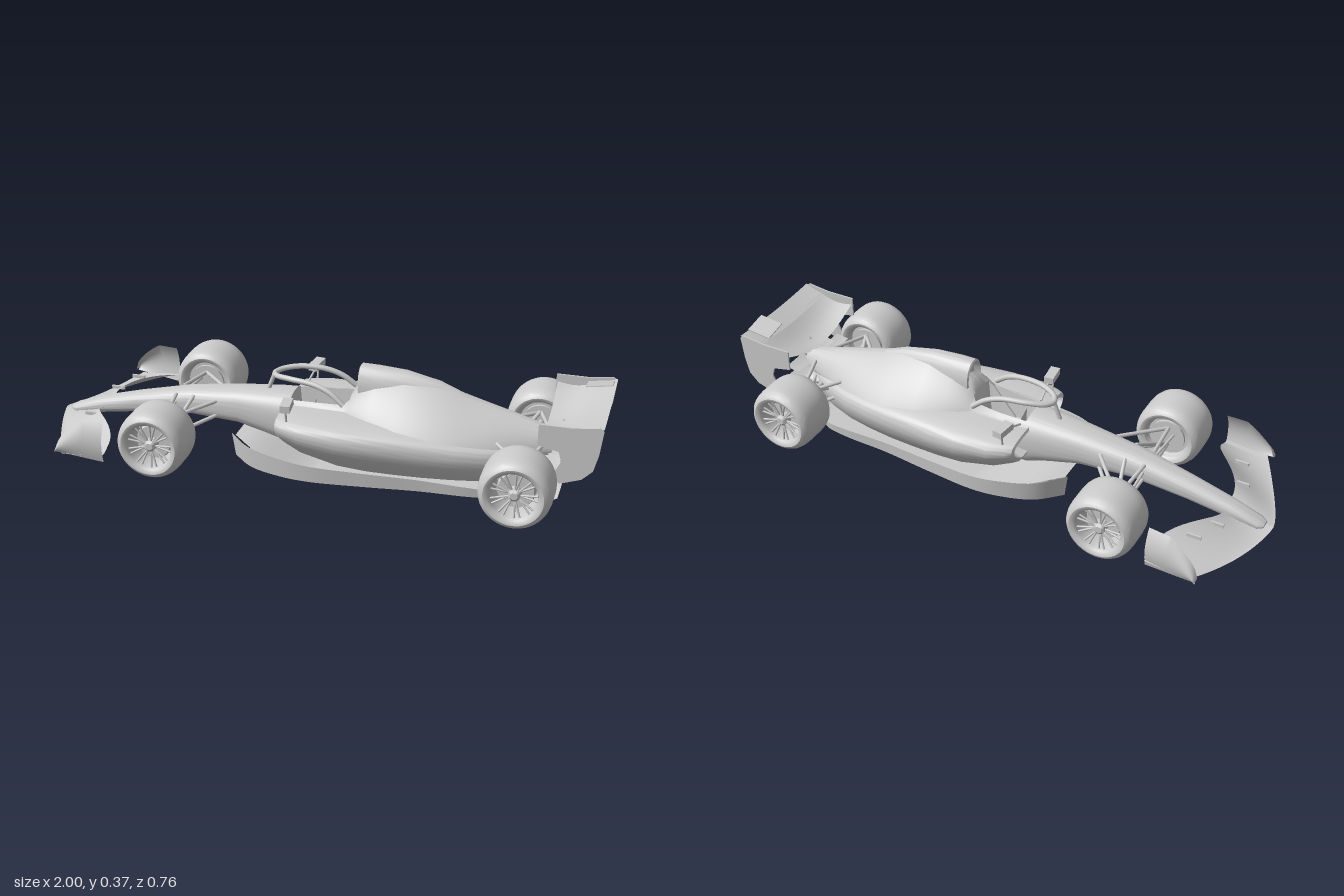
import * as THREE from 'three';
import { toCreasedNormals } from 'three/addons/utils/BufferGeometryUtils.js';
import { ParametricGeometry } from 'three/addons/geometries/ParametricGeometry.js';

const mat = new THREE.MeshStandardMaterial({ color: 0xcccccc, side: THREE.DoubleSide });
const V = (x, y, z) => new THREE.Vector3(x, y, z);
const { lerp, smoothstep } = THREE.MathUtils;

function add(parent, name, geo) {
  const m = new THREE.Mesh(geo, mat);
  m.name = name;
  parent.add(m);
  return m;
}
function box(parent, name, size, pos) {
  const m = add(parent, name, new THREE.BoxGeometry(...size));
  m.position.set(...pos);
  return m;
}
// Straight strut between two points
function rod(parent, name, a, b, r = 0.006) {
  const p = V(...a), q = V(...b);
  const m = add(parent, name, new THREE.CylinderGeometry(r, r, p.distanceTo(q), 10));
  m.position.copy(p).add(q).multiplyScalar(0.5);
  m.quaternion.setFromUnitVectors(V(0, 1, 0), q.sub(p).normalize());
  return m;
}
function surface(parent, name, fn, nu = 24, nv = 8) {
  return add(parent, name, new ParametricGeometry((u, v, t) => t.set(...fn(u, v)), nu, nv));
}
// Skin over rings of points running along x, closed at both ends
function loft(rings) {
  const n = rings[0].length, pos = [], idx = [];
  rings.forEach(r => r.forEach(p => pos.push(p.x, p.y, p.z)));
  for (let i = 0; i < rings.length - 1; i++) for (let j = 0; j < n; j++) {
    const a = i * n + j, b = i * n + (j + 1) % n;
    idx.push(a, a + n, b, b, a + n, b + n);
  }
  [0, rings.length - 1].forEach((ri, end) => {
    const c = rings[ri].reduce((s, p) => s.add(p), V(0, 0, 0)).divideScalar(n);
    const k = pos.length / 3;
    pos.push(c.x, c.y, c.z);
    for (let j = 0; j < n; j++) {
      const a = ri * n + j, b = ri * n + (j + 1) % n;
      idx.push(k, end ? b : a, end ? a : b);
    }
  });
  const g = new THREE.BufferGeometry();
  g.setAttribute('position', new THREE.Float32BufferAttribute(pos, 3));
  g.setIndex(idx);
  return toCreasedNormals(g, 0.7);
}
// Cockpit opening pressed into the top of a ring
function dip(p, half, floor) {
  if (p.x > -0.095 && p.x < 0.11 && Math.abs(p.z) < half && p.y > floor) p.y = floor;
  return p;
}
// Rounded hull from rows of: x, half width, bottom, widest height, top, roundness
const hull = rows => loft(rows.map(([x, w, yb, yc, yt, n]) => Array.from({ length: 60 }, (_, i) => {
  const t = i / 60 * Math.PI * 2, c = Math.cos(t), d = Math.sin(t);
  const e = v => Math.sign(v) * Math.abs(v) ** (2 / n);
  return dip(V(x, yc + e(d) * (d > 0 ? yt - yc : yc - yb), w * e(c)), 0.058, 0.14);
})));

const NOSE_AND_COVER = [
  [-0.97, 0.018, 0.058, 0.065, 0.073, 2], [-0.95, 0.032, 0.05, 0.065, 0.085, 2],
  [-0.85, 0.036, 0.06, 0.09, 0.12, 2.3], [-0.7, 0.042, 0.085, 0.12, 0.16, 2.5],
  [-0.5, 0.055, 0.11, 0.15, 0.205, 2.6], [-0.3, 0.07, 0.1, 0.16, 0.23, 2.6],
  [-0.15, 0.085, 0.06, 0.15, 0.242, 2.6], [-0.1, 0.09, 0.04, 0.15, 0.243, 2.6],
  [-0.09, 0.09, 0.04, 0.15, 0.243, 2.6], [0, 0.097, 0.04, 0.15, 0.247, 2.6],
  [0.1, 0.11, 0.04, 0.15, 0.255, 2.4], [0.115, 0.115, 0.04, 0.16, 0.27, 2.1],
  [0.14, 0.13, 0.04, 0.17, 0.3, 1.6], [0.2, 0.16, 0.04, 0.17, 0.335, 1.35],
  [0.3, 0.19, 0.04, 0.17, 0.352, 1.25], [0.42, 0.195, 0.04, 0.155, 0.335, 1.25],
  [0.5, 0.18, 0.04, 0.15, 0.306, 1.3], [0.6, 0.145, 0.04, 0.15, 0.277, 1.35],
  [0.7, 0.095, 0.06, 0.15, 0.25, 1.5], [0.8, 0.05, 0.09, 0.15, 0.22, 1.7],
  [0.85, 0.035, 0.1, 0.15, 0.205, 2]];
const AIRBOX = [
  [0.16, 0.035, 0.27, 0.3, 0.355, 2.2], [0.138, 0.045, 0.26, 0.295, 0.366, 2.2],
  [0.142, 0.052, 0.24, 0.285, 0.372, 2.2], [0.2, 0.056, 0.22, 0.275, 0.371, 2.2],
  [0.3, 0.052, 0.22, 0.275, 0.365, 2.1], [0.42, 0.04, 0.22, 0.265, 0.34, 2], [0.55, 0.02, 0.21, 0.25, 0.287, 2]];

// Sidepods with recessed inlets and undercut flanks: x, half width, bottom, top
function sidepods() {
  const half = [[0.68, 0], [0.8, 0.14], [0.95, 0.42], [1, 0.65], [0.95, 0.85], [0.75, 0.96], [0.4, 1]];
  const prof = new THREE.CatmullRomCurve3(
    [...half.map(([z, y]) => V(0, y, z)), ...half.slice().reverse().map(([z, y]) => V(0, y, -z))], true)
    .getPoints(72).slice(0, 72);
  const s = [[-0.04, 0.17, 0.14, 0.2], [-0.12, 0.188, 0.128, 0.208], [-0.115, 0.2, 0.115, 0.216],
    [-0.093, 0.212, 0.105, 0.218], [-0.03, 0.232, 0.08, 0.222], [0.1, 0.238, 0.05, 0.222],
    [0.2, 0.231, 0.04, 0.22], [0.3, 0.22, 0.035, 0.216], [0.4, 0.206, 0.03, 0.207],
    [0.5, 0.188, 0.03, 0.195], [0.6, 0.16, 0.03, 0.182], [0.7, 0.115, 0.035, 0.168], [0.8, 0.05, 0.05, 0.15]];
  return loft(s.map(([x, w, yb, yt]) => prof.map(p => dip(V(x, lerp(yb, yt, p.y), w * p.z), 0.075, 0.1))));
}

// Tyre, rim and spokes; the outer face looks along +z
function wheel(name, w) {
  const g = new THREE.Group(), h = w / 2;
  g.name = name;
  const lathe = (n, pts) => { add(g, n, toCreasedNormals(
    new THREE.LatheGeometry(pts.map(p => new THREE.Vector2(...p)), 48), 0.6)).rotation.x = Math.PI / 2; };
  const wall = [[0.082, 0.01], [0.09, 0.002], [0.1, 0], [0.11, 0.006], [0.117, 0.016], [0.1215, 0.032], [0.1235, 0.055]];
  lathe('tyre', [...wall.map(([r, d]) => [r, d - h]), ...wall.slice().reverse().map(([r, d]) => [r, h - d])]);
  lathe('rim', [[0.03, -h + 0.03], [0.074, -h + 0.03], [0.082, -h + 0.01], [0.078, -h + 0.02], [0.076, 0],
    [0.078, h - 0.02], [0.084, h - 0.007]]);
  lathe('brakeDrum', [[0, h - 0.055], [0.06, h - 0.055], [0.064, h - 0.065], [0.064, -h + 0.02], [0, -h + 0.02]]);
  lathe('hub', [[0.022, h - 0.05], [0.02, h - 0.02], [0.012, h - 0.014], [0, h - 0.014]]);
  for (let i = 0; i < 9; i++) for (const k of [-0.12, 0.12]) {
    const a = i / 9 * Math.PI * 2;
    rod(g, 'spoke', [0.016 * Math.cos(a), 0.016 * Math.sin(a), h - 0.028],
      [0.079 * Math.cos(a + k), 0.079 * Math.sin(a + k), h - 0.018], 0.0035);
  }
  return g;
}

export function createModel() {
  const model = new THREE.Group(), car = new THREE.Group();
  model.name = 'racingCar';
  car.name = 'car';
  car.position.z = 0.006;
  model.add(car);
  add(car, 'noseAndEngineCover', hull(NOSE_AND_COVER));
  add(car, 'airbox', hull(AIRBOX));
  add(car, 'sidepods', sidepods());

  // Floor plate with tunnel mouths rising at the front
  const edge = new THREE.CatmullRomCurve3([V(-0.285, 0, 0.125), V(-0.2, 0, 0.2), V(-0.08, 0, 0.24), V(0.02, 0, 0.25),
    V(0.2, 0, 0.234), V(0.4, 0, 0.21), V(0.58, 0, 0.2), V(0.67, 0, 0.18), V(0.715, 0, 0.13)]);
  const floorY = x => 0.022 + 0.075 * (1 - smoothstep(x, -0.25, 0.04));
  surface(car, 'floor', (u, v) => { const p = edge.getPoint(u); return [p.x, floorY(p.x), p.z * (2 * v - 1)]; }, 48, 4);
  surface(car, 'floorTop', (u, v) => {
    const p = edge.getPoint(lerp(0.38, 1, u));
    return [p.x, 0.035 + 0.01 * Math.abs(2 * v - 1), p.z * 0.99 * (2 * v - 1)];
  }, 40, 4);

  // Narrow diffuser ramp and the full-width blade behind it
  surface(car, 'diffuser', (u, v) => [lerp(0.69, 0.86, u), 0.022 + 0.08 * u ** 1.4, lerp(0.14, 0.11, u) * (2 * v - 1)], 12, 4);
  surface(car, 'diffuserBlade', (u, v) => [lerp(0.8, 0.865, v),
    0.018 + 0.034 * v * (0.7 + 0.3 * Math.abs(2 * u - 1)), 0.19 * (2 * u - 1)]);

  // Front wing swept back and arched at mid span
  surface(car, 'frontWing', (u, v) => {
    const s = 2 * u - 1, a = Math.abs(s);
    const x0 = -0.998 + 0.153 * a ** 1.35, x1 = lerp(-0.83, -0.69, smoothstep(a, 0.15, 0.85));
    const y0 = 0.062 - 0.02 * Math.sin(a * Math.PI), y1 = 0.075 + 0.05 * Math.sin(Math.PI * Math.min(1, a * 1.05));
    return [lerp(x0, x1, v), lerp(y0, y1, v ** 1.4), 0.368 * s];
  }, 48, 14);

  // Rear wing: spoon-shaped main plane and flap
  const sag = u => Math.cos((2 * u - 1) * Math.PI / 2);
  surface(car, 'rearWingMainPlane', (u, v) => [lerp(0.795, 0.935, v),
    lerp(0.3 - 0.06 * sag(u), 0.312 - 0.015 * sag(u), v) - 0.014 * Math.sin(v * Math.PI), 0.21 * (2 * u - 1)]);
  surface(car, 'rearWingFlap', (u, v) => [lerp(0.925, 1, v),
    lerp(0.308 - 0.015 * sag(u), 0.332 - 0.008 * sag(u), v), 0.21 * (2 * u - 1)]);
  box(car, 'raisedFlapPanel', [0.09, 0.004, 0.085], [0.948, 0.341, -0.13]).rotation.set(-0.2, 0, 0.15);
  [[0.15, 0.81, 0.19], [0.176, 0.825, 0.12]].forEach(([y, x, half]) => surface(car, 'beamWing', (u, v) =>
    [x + 0.05 * v, y + 0.008 * v * v - 0.008 * sag(u) * (1 - v), half * (2 * u - 1)]));
  rod(car, 'rearWingPylon', [0.81, 0.19, 0], [0.85, 0.25, 0], 0.006);

  // Tail: exhaust, gearbox and crash structure
  const exhaust = add(car, 'exhaust', new THREE.LatheGeometry([[0.015, 0.1], [0.015, 0], [0.021, 0], [0.021, 0.1]]
    .map(p => new THREE.Vector2(...p)), 24));
  exhaust.rotation.z = Math.PI / 2;
  exhaust.position.set(0.89, 0.192, 0);
  const gearbox = add(car, 'gearbox', new THREE.CylinderGeometry(0.08, 0.06, 0.16, 32));
  gearbox.rotation.z = -Math.PI / 2;
  gearbox.scale.x = 0.34;
  gearbox.position.set(0.77, 0.115, 0);
  box(car, 'crashStructure', [0.05, 0.045, 0.03], [0.85, 0.108, 0]);

  // Halo: hoop and centre strut
  const hoop = [[0.1, 0.245, 0.09], [0.05, 0.282, 0.082], [-0.01, 0.303, 0.074], [-0.1, 0.308, 0.06], [-0.16, 0.302, 0.03]];
  const path = [...hoop, [-0.175, 0.299, 0], ...hoop.slice().reverse().map(([x, y, z]) => [x, y, -z])].map(p => V(...p));
  add(car, 'halo', new THREE.TubeGeometry(new THREE.CatmullRomCurve3(path), 60, 0.01, 10));
  rod(car, 'haloStrut', [-0.175, 0.299, 0], [-0.2, 0.235, 0], 0.008);

  // Rear endplate outline
  const plate = new THREE.Shape([[0.79, 0.325], [0.9, 0.325], [0.985, 0.336], [1, 0.325], [0.99, 0.24], [0.975, 0.18],
    [0.94, 0.145], [0.87, 0.12], [0.84, 0.14], [0.87, 0.2], [0.86, 0.235], [0.79, 0.25]].map(p => new THREE.Vector2(...p)));

  for (const s of [1, -1]) {
    const side = new THREE.Group();
    side.name = s > 0 ? 'leftSide' : 'rightSide';
    car.add(side);

    for (const [n, x] of [['frontWheel', -0.518], ['rearWheel', 0.743]]) {
      const g = wheel(n, 0.172);
      g.position.set(x, 0.127, s * 0.284);
      if (s < 0) g.rotation.y = Math.PI;
      side.add(g);
    }
    // Wishbones, push rods, track rods and drive shafts
    const link = (n, a, b, r = 0.007) => rod(side, n, [a[0], a[1], a[2] * s], [b[0], b[1], b[2] * s], r);
    for (const [y, yi] of [[0.165, 0.185], [0.095, 0.13]]) {
      link('frontWishbone', [-0.52, y, 0.22], [-0.54, yi, 0.04]);
      link('frontWishbone', [-0.52, y, 0.22], [-0.38, yi, 0.055]);
      link('rearWishbone', [0.745, y, 0.22], [0.62, yi, 0.08]);
      link('rearWishbone', [0.745, y, 0.22], [0.8, yi, 0.04]);
    }
    link('frontPushRod', [-0.51, 0.1, 0.21], [-0.47, 0.19, 0.045]);
    link('frontTrackRod', [-0.54, 0.14, 0.22], [-0.54, 0.16, 0.04], 0.005);
    link('rearPullRod', [0.74, 0.17, 0.21], [0.68, 0.12, 0.06]);
    link('driveShaft', [0.745, 0.128, 0.23], [0.745, 0.128, 0.03], 0.01);

    // Front wing endplate bowed outward, the right one knocked askew, and flap adjusters
    surface(side, 'frontWingEndplate', (u, v) => {
      const top = 0.072 + 0.122 * Math.min(1, u * 1.7) ** 0.55, skew = s < 0 ? 0.014 - 0.024 * u : 0;
      return [lerp(-0.872, -0.688, u), lerp(lerp(0.065, 0.048, u), top, v),
        s * (0.364 + skew + 0.018 * Math.sin(v * Math.PI * 0.8) - 0.026 * v * v)];
    }, 20, 8);
    box(side, 'flapAdjuster', [0.05, 0.012, 0.008], [-0.84, 0.105, s * 0.12]);
    box(side, 'flapAdjuster', [0.05, 0.012, 0.008], [-0.8, 0.112, s * 0.22]);

    // Floor edge wall and the strakes inside the tunnel mouth
    surface(side, 'floorEdge', (u, v) => {
      const p = edge.getPoint(u);
      return [p.x - 0.012 * v * (1 - u), lerp(0.018, lerp(0.105, 0.045, Math.min(1, u * 1.15)), v), s * (p.z + 0.004 * v)];
    }, 40, 4);
    for (const z of [0.05, 0.085, 0.12]) surface(side, 'floorStrake', (u, v) => {
      const x = lerp(-0.27 + z * 0.3, 0.02, u);
      return [x, lerp(0.022, floorY(x), v), s * (z + 0.08 * u ** 0.8)];
    }, 12, 2);

    // Rear wing endplate
    add(side, 'rearWingEndplate', new THREE.ExtrudeGeometry(plate, { depth: 0.006, bevelEnabled: false }))
      .position.z = s * 0.21 - 0.003;

    // Mirror on stalks
    box(side, 'mirror', [0.035, 0.025, 0.075], [-0.075, 0.266, s * 0.185]).rotation.y = s * 0.12;
    link('mirrorStalk', [-0.075, 0.258, 0.165], [-0.085, 0.225, 0.08], 0.004);
    link('mirrorStalk', [-0.075, 0.255, 0.2], [-0.075, 0.205, 0.19], 0.004);
  }
  return model;
}
